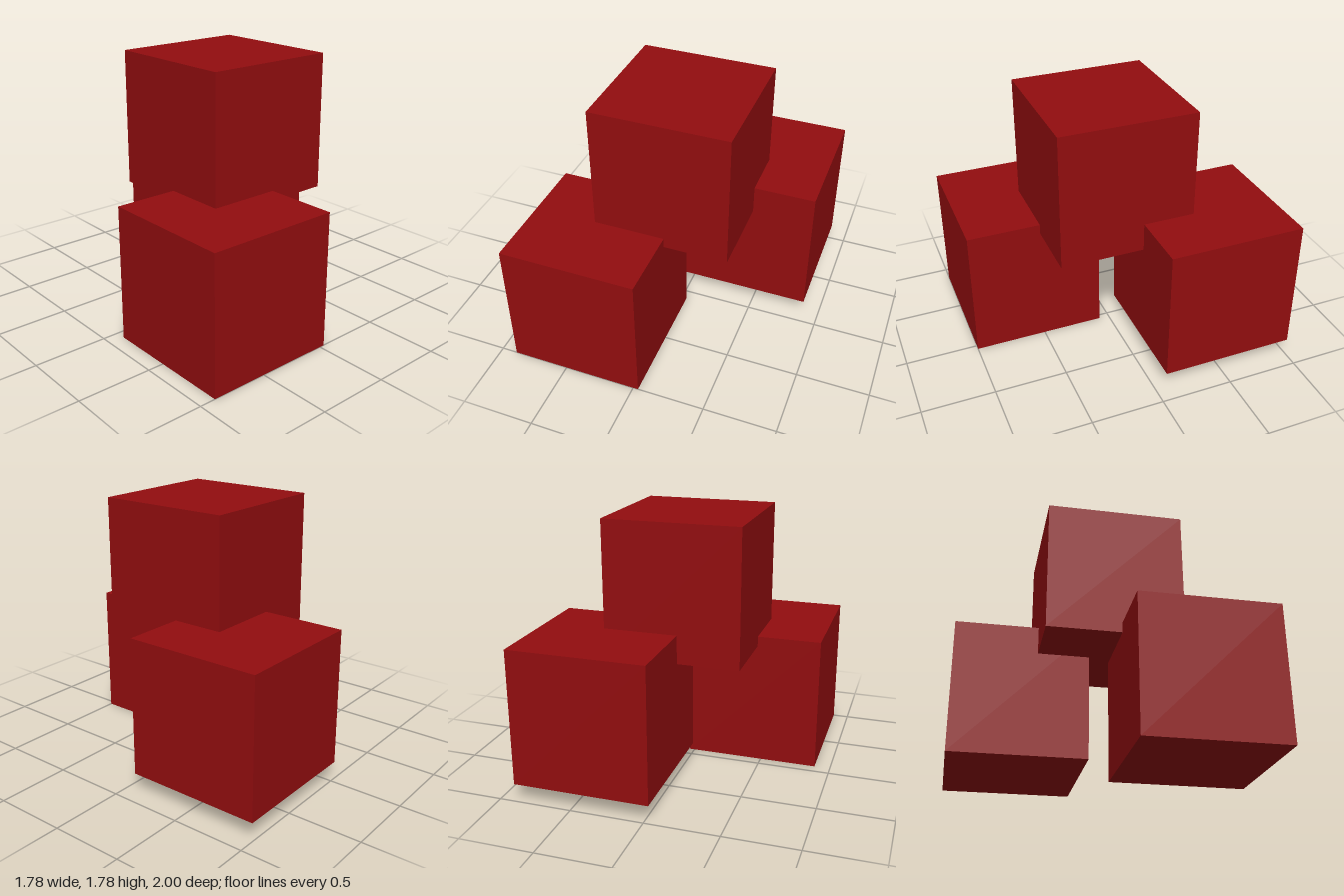
import * as THREE from 'three';

// Three equal cubes: two at the base, one resting across them
const SIZE = 0.927;
const CUBES = [
  ['frontCube', -0.428, 0.4635, 0.5365],
  ['backCube', 0.428, 0.589, -0.5365],
  ['topCube', 0.007, 1.321, 0.035],
];

export function createModel() {
  const model = new THREE.Group();
  model.name = 'stackedCubes';
  const geometry = new THREE.BoxGeometry(SIZE, SIZE, SIZE);
  const material = new THREE.MeshStandardMaterial({ color: 0x930d0f });
  for (const [name, x, y, z] of CUBES) {
    const cube = new THREE.Mesh(geometry, material);
    cube.name = name;
    cube.position.set(x, y, z);
    model.add(cube);
  }
  return model;
}
